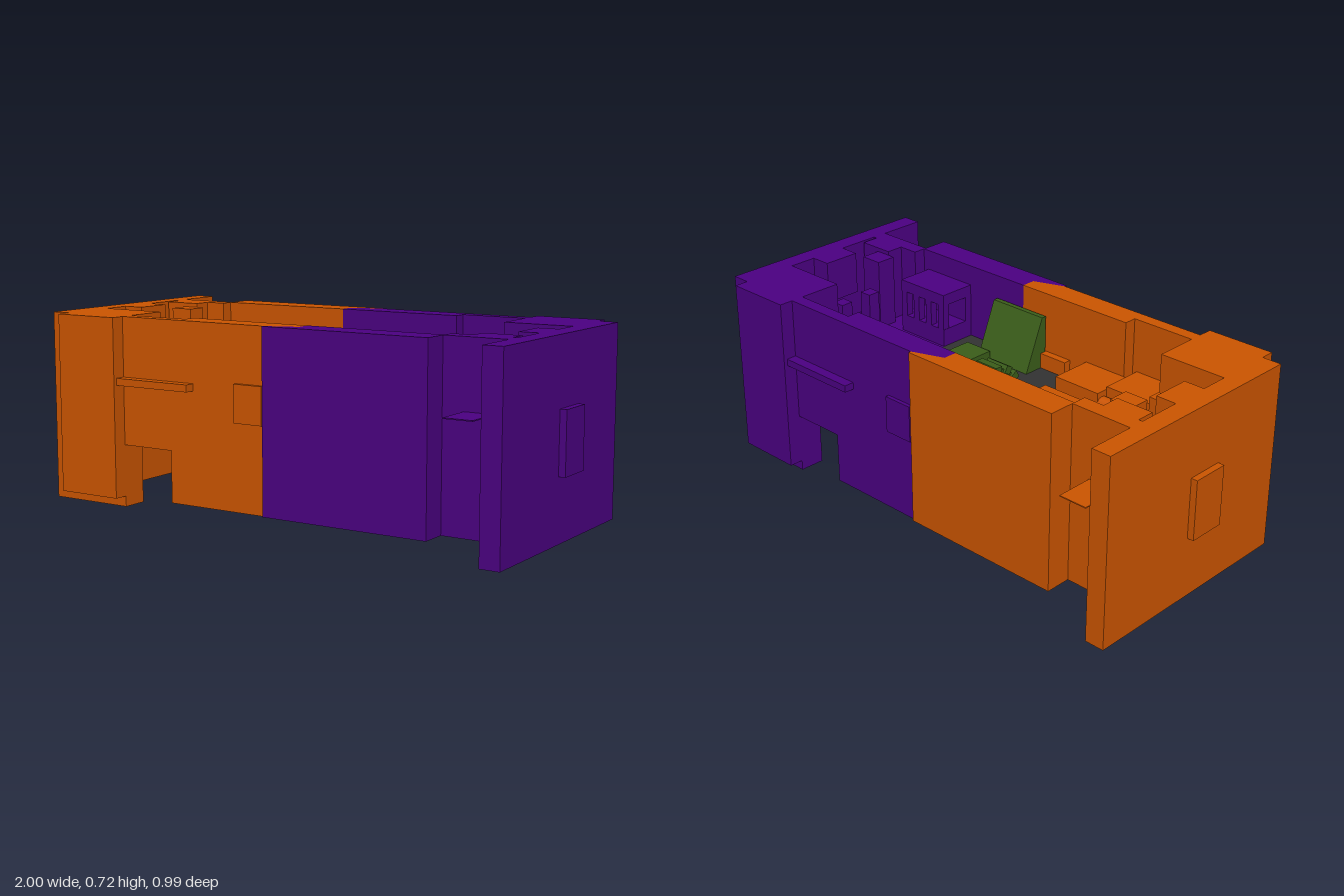
import * as THREE from 'three';

const mat = (name, color, side = THREE.FrontSide) => {
  const m = new THREE.MeshStandardMaterial({ color, side });
  m.name = name;
  return m;
};

export function createModel() {
  const orange = mat('orange', 0xcc5500, THREE.DoubleSide);
  const purple = mat('purple', 0x4b0082, THREE.DoubleSide);
  const green = mat('green', 0x3b5e1a);
  const grey = mat('dark grey', 0x333333, THREE.DoubleSide);

  // Box given by its limits on each axis
  const box = (parent, name, m, x0, x1, y0, y1, z0, z1) => {
    const mesh = new THREE.Mesh(new THREE.BoxGeometry(x1 - x0, y1 - y0, z1 - z0), m);
    mesh.position.set((x0 + x1) / 2, (y0 + y1) / 2, (z0 + z1) / 2);
    mesh.name = name;
    parent.add(mesh);
  };

  // Floor sheet
  const sheet = (parent, name, m, x0, x1, y, z0, z1) => {
    const mesh = new THREE.Mesh(new THREE.PlaneGeometry(x1 - x0, z1 - z0), m);
    mesh.rotation.x = -Math.PI / 2;
    mesh.position.set((x0 + x1) / 2, y, (z0 + z1) / 2);
    mesh.name = name;
    parent.add(mesh);
  };

  // Upright prism from a plan outline of [x, z] points
  const prism = (parent, name, m, pts, y0, y1) => {
    const shape = new THREE.Shape(pts.map(([x, z]) => new THREE.Vector2(x, -z)));
    const geo = new THREE.ExtrudeGeometry(shape, { depth: y1 - y0, bevelEnabled: false });
    geo.rotateX(-Math.PI / 2).translate(0, y0, 0);
    const mesh = new THREE.Mesh(geo, m);
    mesh.name = name;
    parent.add(mesh);
  };

  const FLOOR = 0.42, TOP = 0.715;

  const makeHalf = (name, m) => {
    const g = new THREE.Group();
    g.name = name;
    const b = (n, ...lim) => box(g, n, m, ...lim);

    // End wall with its raised panel
    b('endWall', -0.975, -0.9, 0, TOP, -0.495, 0.4);
    b('endPanel', -1, -0.97, 0.235, 0.465, -0.073, 0.073);

    // Front wall, thicker near the middle, with a doorway notch
    prism(g, 'frontWall', m, [[-0.415, 0.4], [0, 0.4], [0.12, 0.355], [0.12, 0.3],
      [-0.38, 0.3], [-0.38, 0.35], [-0.415, 0.35]], 0.04, TOP);
    b('doorLintel', -0.635, -0.415, 0.235, TOP, 0.35, 0.4);
    b('wallLedge', -0.635, -0.31, 0.463, 0.49, 0.4, 0.44);
    b('wallPanel', -0.12, 0, 0.365, 0.505, 0.4, 0.415);
    b('wallButtress', -0.12, 0, FLOOR, 0.48, 0.27, 0.3);

    // Front corner block
    b('cornerBlock', -0.9, -0.635, 0.04, TOP, 0.3, 0.455);
    b('cornerFoot', -0.9, -0.635, 0, 0.04, 0.3, 0.4);
    b('cornerRoof', -0.9, -0.635, FLOOR, TOP, 0.18, 0.3);

    // Back wall with a slanted joint
    prism(g, 'backWall', m, [[-0.66, -0.41], [0, -0.41], [0, -0.4], [-0.12, -0.355],
      [-0.12, -0.3], [-0.66, -0.3]], 0.04, TOP);
    b('recessWall', -0.9, -0.66, 0.04, TOP, -0.31, -0.25);
    b('recessShelf', -0.85, -0.74, 0.463, 0.467, -0.455, -0.31);

    // Floors
    sheet(g, 'baseFloor', m, -0.885, -0.4, FLOOR, -0.3, 0.35);
    sheet(g, 'roomFloor', m, -0.9, -0.64, FLOOR + 0.03, -0.07, 0.18);
    b('sidePlatform', -0.4, -0.2, FLOOR, 0.5, 0.13, 0.3);
    b('sideStep', -0.635, -0.4, FLOOR, 0.51, 0.18, 0.35);

    // Roof, tower and pillars of the end room
    b('roomBackBlock', -0.885, -0.74, FLOOR, TOP, -0.25, -0.18);
    b('tower', -0.8, -0.71, FLOOR, 0.7, -0.18, -0.1);
    b('roomBeam', -0.9, -0.82, 0.55, TOP, -0.08, 0.07);
    for (const z of [-0.06, 0.08]) b('roomPillar', -0.72, -0.67, FLOOR, 0.6, z, z + 0.05);

    // Lookout house with a row of window posts
    const [hx0, hx1, hz0, hz1] = [-0.635, -0.4, -0.3, -0.15];
    b('houseBase', hx0, hx1, FLOOR, 0.49, hz0, hz1);
    b('houseRoof', hx0, hx1, 0.59, 0.635, hz0, hz1);
    b('houseBack', hx0, hx1, 0.49, 0.59, hz0, hz0 + 0.03);
    for (let i = 0; i < 4; i++) {
      const x = hx0 + i * 0.068;
      b('housePost', x, x + 0.03, 0.49, 0.59, hz1 - 0.03, hz1);
    }

    // Rounded barriers on the floor
    const barrier = (x0, x1, z, r) => {
      const c = new THREE.Mesh(new THREE.CylinderGeometry(r, r, x1 - x0, 12), m);
      c.rotation.z = Math.PI / 2;
      c.position.set((x0 + x1) / 2, FLOOR + r, z);
      c.name = 'barrier';
      g.add(c);
    };
    barrier(-0.53, -0.36, 0.035, 0.035);
    barrier(-0.53, -0.4, 0.155, 0.03);
    return g;
  };

  const model = new THREE.Group();
  model.name = 'arena';
  model.add(makeHalf('orangeHalf', orange));
  const other = makeHalf('purpleHalf', purple);
  other.rotation.y = Math.PI;
  model.add(other);

  // Central floor
  sheet(model, 'centreFloor', grey, -0.4, 0.4, FLOOR, -0.3, 0.3);

  // Green cover, repeated by a half turn
  for (const turn of [0, Math.PI]) {
    const g = new THREE.Group();
    g.name = 'cover';
    g.rotation.y = turn;
    const profile = new THREE.Shape([[0.295, FLOOR], [0.295, 0.625], [0.275, 0.625], [0.19, FLOOR]]
      .map(([z, y]) => new THREE.Vector2(z, y)));
    const geo = new THREE.ExtrudeGeometry(profile, { depth: 0.25, bevelEnabled: false });
    geo.rotateY(Math.PI / 2).scale(-1, 1, 1);
    // Restore outward faces after mirroring
    const p = geo.attributes.position;
    for (let i = 0; i < p.count; i += 3) {
      const a = new THREE.Vector3().fromBufferAttribute(p, i);
      const c = new THREE.Vector3().fromBufferAttribute(p, i + 2);
      p.setXYZ(i, c.x, c.y, c.z);
      p.setXYZ(i + 2, a.x, a.y, a.z);
    }
    geo.rotateY(Math.PI).translate(0, 0, 0);
    geo.computeVertexNormals();
    const wedge = new THREE.Mesh(geo, green);
    wedge.name = 'slantedCover';
    g.add(wedge);
    box(g, 'crate', green, -0.31, -0.19, FLOOR, 0.455, -0.19, -0.07);
    model.add(g);
  }

  // Ribbed drum set into the centre of the floor
  const drum = new THREE.Group();
  drum.name = 'centreDrum';
  const core = new THREE.Mesh(new THREE.CylinderGeometry(0.1, 0.1, 0.08, 16), green);
  core.rotation.z = Math.PI / 2;
  core.name = 'drumCore';
  drum.add(core);
  for (let i = 0; i < 12; i++) {
    const a = (i / 12) * Math.PI * 2;
    const rib = new THREE.Mesh(new THREE.BoxGeometry(0.1, 0.03, 0.03), green);
    rib.position.set(0, Math.sin(a) * 0.1, Math.cos(a) * 0.1);
    rib.rotation.x = -a;
    rib.name = 'drumRib';
    drum.add(rib);
  }
  drum.position.set(0, FLOOR, -0.01);
  model.add(drum);

  return model;
}
